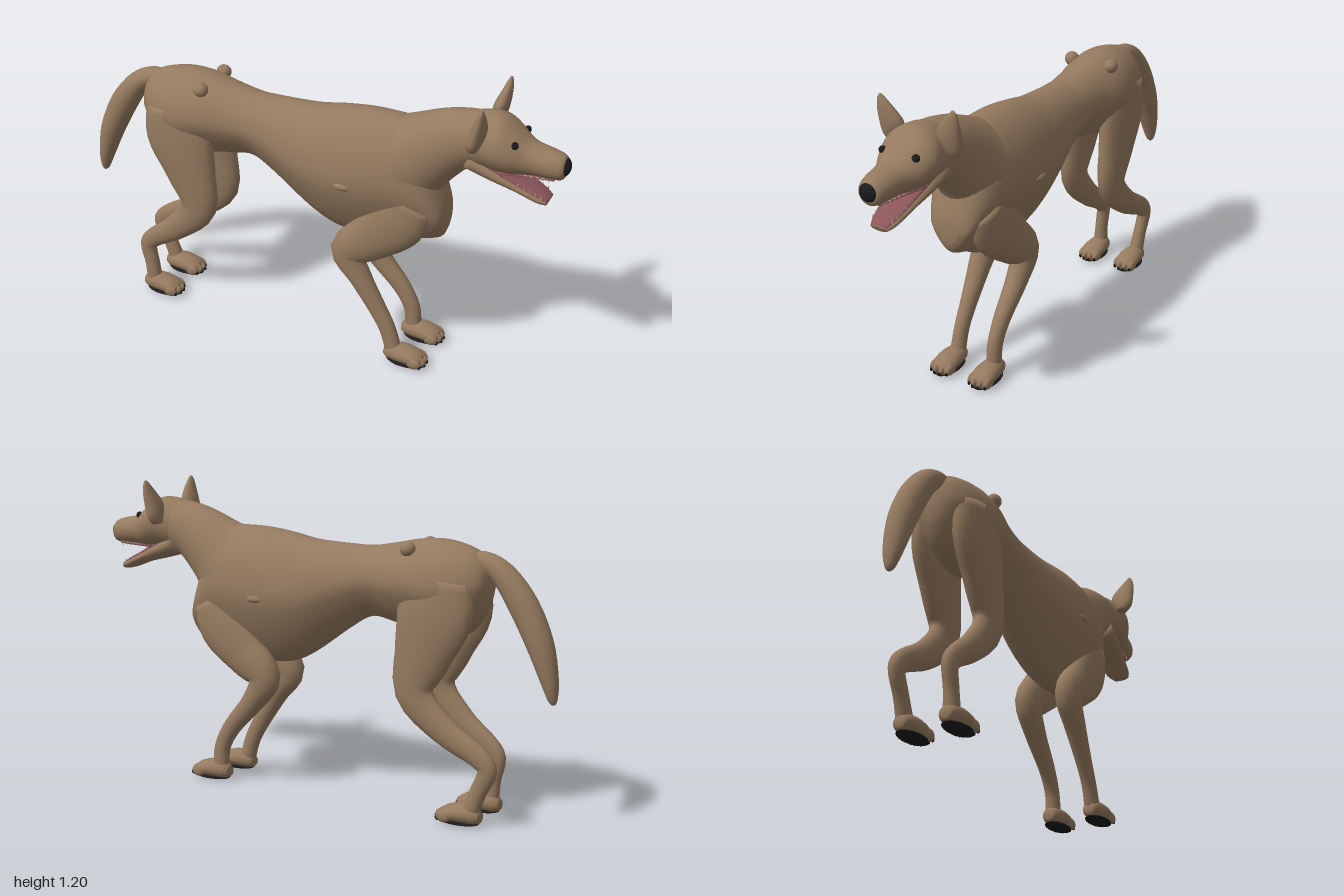
import * as THREE from 'three';

const mat = (name, color, side = THREE.FrontSide) => {
  const m = new THREE.MeshStandardMaterial({ color, side });
  m.name = name;
  return m;
};

// Smooth skin over oval sections [x, y, z, halfHeight, halfWidth].
// upright keeps sections vertical; keel narrows the lower half.
function loft(rows, { upright = false, keel = 0, steps = 4, sides = 24 } = {}) {
  const path = new THREE.CatmullRomCurve3(rows.map(r => new THREE.Vector3(r[0], r[1], r[2])), false, 'catmullrom');
  const size = new THREE.CatmullRomCurve3(rows.map(r => new THREE.Vector3(r[3], r[4], 0)), false, 'catmullrom');
  const n = (rows.length - 1) * steps;
  const pos = [], index = [];
  const ring = (t, s) => {
    const p = path.getPoint(t), q = size.getPoint(t), d = path.getTangent(t);
    const len = Math.hypot(d.x, d.y) || 1;
    const nx = upright ? 0 : -d.y / len, ny = upright ? 1 : d.x / len;
    for (let j = 0; j < sides; j++) {
      const a = j / sides * Math.PI * 2, c = Math.cos(a);
      const h = c * Math.max(q.x, 0.001) * s;
      const w = Math.sin(a) * Math.max(q.y, 0.001) * s * (1 - keel * Math.max(0, -c));
      pos.push(p.x + nx * h, p.y + ny * h, p.z + w);
    }
  };
  ring(0, 0.001);
  for (let i = 0; i <= n; i++) ring(i / n, 1);
  ring(1, 0.001);
  for (let i = 0; i < n + 2; i++) {
    for (let j = 0; j < sides; j++) {
      const k = (j + 1) % sides, a = i * sides + j, b = i * sides + k;
      index.push(a, b, a + sides, b, b + sides, a + sides);
    }
  }
  const g = new THREE.BufferGeometry();
  g.setAttribute('position', new THREE.Float32BufferAttribute(pos, 3));
  g.setIndex(index);
  g.computeVertexNormals();
  return g;
}

export function createModel() {
  const dog = new THREE.Group();
  dog.name = 'dog';
  const fur = mat('brown fur', 0x957a5f);
  const black = mat('black nose and pads', 0x1b1b1d);
  const pink = mat('mouth pink', 0x8c565a);
  const ivory = mat('teeth ivory', 0xb9a78f);

  const add = (name, geo, material, parent = dog) => {
    const m = new THREE.Mesh(geo, material);
    m.name = name;
    parent.add(m);
    return m;
  };
  const blob = (name, material, p, r, parent = dog) => {
    const m = add(name, new THREE.SphereGeometry(1, 20, 14), material, parent);
    m.position.set(...p);
    m.scale.set(...r);
    return m;
  };

  // Torso, deep in the chest and tucked at the waist
  add('torso', loft([
    [-0.735, 0.88, 0, 0.04, 0.03], [-0.715, 0.87, 0, 0.1, 0.075], [-0.66, 0.855, 0, 0.155, 0.115],
    [-0.55, 0.85, 0, 0.185, 0.145], [-0.45, 0.86, 0, 0.17, 0.143], [-0.35, 0.86, 0, 0.15, 0.122],
    [-0.25, 0.858, 0, 0.135, 0.112], [-0.15, 0.83, 0, 0.163, 0.118], [0, 0.78, 0, 0.22, 0.145],
    [0.1, 0.765, 0, 0.253, 0.158], [0.2, 0.765, 0, 0.267, 0.163], [0.3, 0.772, 0, 0.265, 0.158],
    [0.4, 0.775, 0, 0.25, 0.143], [0.48, 0.735, 0, 0.19, 0.12], [0.54, 0.67, 0, 0.1, 0.085],
    [0.56, 0.655, 0, 0.045, 0.04],
  ], { upright: true, keel: 0.35, sides: 36 }), fur);
  add('neck', loft([
    [0.3, 0.82, 0, 0.2, 0.15], [0.37, 0.85, 0, 0.185, 0.142], [0.46, 0.92, 0, 0.148, 0.118],
    [0.56, 0.985, 0, 0.12, 0.1], [0.66, 1.022, 0, 0.1, 0.09], [0.72, 1.03, 0, 0.08, 0.08],
  ], { sides: 32 }), fur);

  // Head, jaws and mouth
  add('head', loft([
    [0.6, 1.02, 0, 0.07, 0.06], [0.64, 1.018, 0, 0.1, 0.086], [0.7, 1.025, 0, 0.104, 0.105],
    [0.75, 1.02, 0, 0.102, 0.116], [0.8, 1.003, 0, 0.085, 0.102], [0.84, 0.99, 0, 0.067, 0.08],
    [0.88, 0.984, 0, 0.058, 0.065], [0.94, 0.978, 0, 0.053, 0.056], [0.975, 0.974, 0, 0.045, 0.045],
    [0.988, 0.973, 0, 0.025, 0.027],
  ], { upright: true, sides: 32 }), fur);
  const jaw = [
    [0.64, 0.95, 0, 0.05, 0.085], [0.74, 0.91, 0, 0.037, 0.077], [0.82, 0.878, 0, 0.025, 0.065],
    [0.9, 0.844, 0, 0.02, 0.052], [0.935, 0.83, 0, 0.013, 0.036],
  ];
  add('lowerJaw', loft(jaw), fur);
  add('tongue', loft(jaw.map(([x, y, z, h, w]) => [x + 0.002, y + h * 0.6, z, h * 0.55, w * 0.88])), pink);
  add('palate', loft([[0.76, 0.928, 0, 0.012, 0.068], [0.85, 0.927, 0, 0.009, 0.045], [0.95, 0.928, 0, 0.006, 0.03]]), pink);
  blob('nose', black, [0.974, 0.977, 0], [0.026, 0.036, 0.038]);

  for (const s of [1, -1]) {
    const side = s > 0 ? 'left' : 'right';
    blob(side + 'Eye', black, [0.812, 1.053, 0.069 * s], [0.013, 0.014, 0.015]);
    add(side + 'Ear', loft([
      [0.675, 1.03, 0.126 * s, 0.018, 0.022], [0.683, 1.06, 0.127 * s, 0.026, 0.04],
      [0.695, 1.105, 0.12 * s, 0.027, 0.05], [0.705, 1.15, 0.133 * s, 0.019, 0.037],
      [0.71, 1.185, 0.146 * s, 0.011, 0.019], [0.712, 1.203, 0.15 * s, 0.004, 0.006],
    ]), fur);
    // Small teeth along both jaws
    for (let i = 0; i < 5; i++) {
      const x = 0.83 + i * 0.021, big = i === 4 ? 1.6 : 1;
      const low = add('lowerTooth', new THREE.ConeGeometry(0.004, 0.012 * big, 6), ivory);
      low.position.set(x, 0.893 - (x - 0.83) * 0.43, (0.053 - i * 0.003) * s);
      const up = add('upperTooth', new THREE.ConeGeometry(0.004, 0.014 * big, 6), ivory);
      up.rotation.x = Math.PI;
      up.position.set(x + 0.02, 0.925, (0.042 - i * 0.003) * s);
    }
    // Hip and rib bumps
    blob(side + 'HipBump', fur, [-0.44, 1.0, 0.09 * s], [0.03, 0.028, 0.028]);
    blob(side + 'RibBump', fur, [0.19, 0.77, 0.152 * s], [0.04, 0.016, 0.018]);

    // Legs; the right pair stands a little out of step
    const f = s < 0 ? 0.03 : 0, h = s < 0 ? -0.045 : 0;
    add(side + 'FrontLeg', loft([
      [0.43, 0.74, 0.08 * s, 0.1, 0.05], [0.38, 0.64, 0.085 * s, 0.12, 0.056],
      [0.28, 0.535, 0.088 * s, 0.095, 0.054], [0.19, 0.45, 0.088 * s, 0.07, 0.05],
      [0.245, 0.345, 0.088 * s, 0.046, 0.042], [0.315 + f, 0.23, 0.088 * s, 0.037, 0.032],
      [0.365 + f, 0.14, 0.088 * s, 0.034, 0.028], [0.395 + f / 3, 0.045, 0.088 * s, 0.033, 0.03],
    ]), fur);
    add(side + 'HindLeg', loft([
      [-0.565, 0.9, 0.075 * s, 0.13, 0.06], [-0.55, 0.77, 0.085 * s, 0.15, 0.06],
      [-0.51, 0.63, 0.088 * s, 0.118, 0.054], [-0.475, 0.47, 0.09 * s, 0.077, 0.045],
      [-0.58 + h / 3, 0.345, 0.09 * s, 0.055, 0.036], [-0.69 + h, 0.265, 0.09 * s, 0.042, 0.03],
      [-0.73 + h, 0.215, 0.09 * s, 0.037, 0.027], [-0.718 + h / 2, 0.13, 0.09 * s, 0.032, 0.026],
      [-0.71, 0.045, 0.09 * s, 0.033, 0.03],
    ]), fur);

    // Paws with toes, claws and pads
    for (const [name, x] of [['FrontPaw', 0.36], ['HindPaw', -0.752]]) {
      const paw = new THREE.Group();
      paw.name = side + name;
      paw.position.set(x, 0, 0.088 * s);
      dog.add(paw);
      add('foot', loft([
        [0, 0.036, 0, 0.02, 0.022], [0.025, 0.041, 0, 0.035, 0.036], [0.08, 0.043, 0, 0.037, 0.046],
        [0.13, 0.037, 0, 0.031, 0.046], [0.16, 0.03, 0, 0.02, 0.034],
      ], { upright: true }), fur, paw);
      [-0.036, -0.013, 0.013, 0.036].forEach(z => {
        const tip = 0.152 - Math.abs(z) * 0.5;
        blob('toe', fur, [tip, 0.03, z], [0.03, 0.023, 0.0135], paw);
        blob('claw', black, [tip + 0.024, 0.022, z], [0.009, 0.011, 0.005], paw);
      });
      blob('pad', black, [0.088, 0.009, 0], [0.082, 0.009, 0.044], paw);
    }
  }

  // Tail sweeping back and down
  add('tail', loft([
    [-0.64, 0.955, 0, 0.03, 0.035], [-0.7, 0.965, 0, 0.036, 0.04], [-0.78, 0.92, 0, 0.046, 0.048],
    [-0.86, 0.815, 0, 0.055, 0.052], [-0.925, 0.685, 0, 0.05, 0.05], [-0.965, 0.56, 0, 0.033, 0.037],
    [-0.98, 0.49, 0, 0.018, 0.02], [-0.984, 0.47, 0, 0.006, 0.007],
  ]), fur);
  return dog;
}
